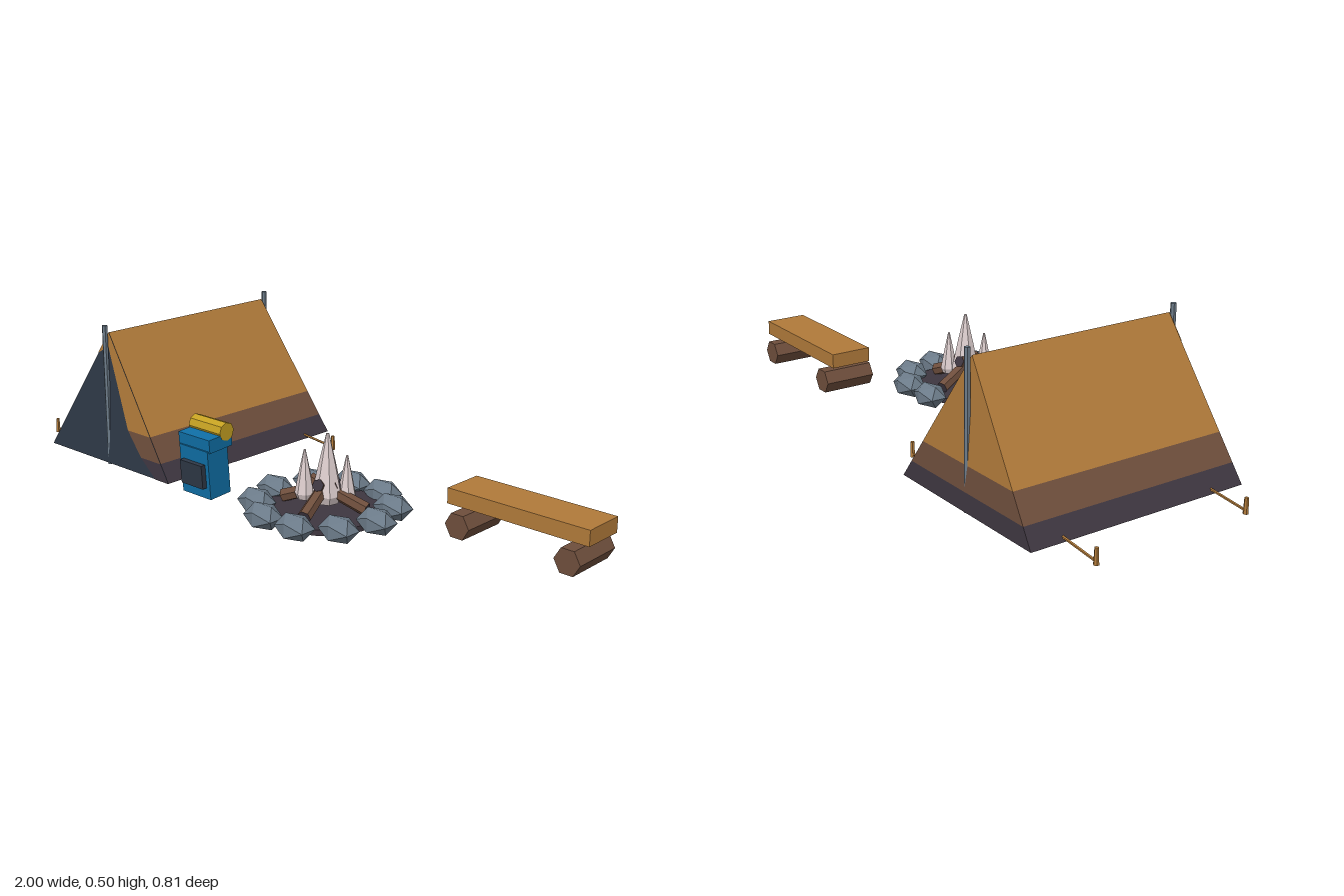
import * as THREE from 'three';

const mat = (name, color, side = THREE.FrontSide) => {
  const m = new THREE.MeshStandardMaterial({ color, side });
  m.name = name;
  return m;
};

export function createModel() {
  const canvas = mat('tan canvas and wood', 0xb07a3a, THREE.DoubleSide);
  const brown = mat('brown bark', 0x6e4e3c, THREE.DoubleSide);
  const plum = mat('charcoal plum', 0x3e3640, THREE.DoubleSide);
  const navy = mat('dark navy cloth', 0x2e3846, THREE.DoubleSide);
  const stone = mat('blue grey stone', 0x6c7b89);
  const blue = mat('pack blue', 0x0f6fa6);
  const yellow = mat('bedroll yellow', 0xc4a022);
  const pale = mat('pale flame', 0xdccdcd);

  const model = new THREE.Group();
  model.name = 'campsite';
  const group = (name) => {
    const g = new THREE.Group();
    g.name = name;
    model.add(g);
    return g;
  };

  // Faceted mesh with hard edges
  const add = (parent, name, geo, material, x = 0, y = 0, z = 0) => {
    const g = geo.index ? geo.toNonIndexed() : geo;
    g.computeVertexNormals();
    const m = new THREE.Mesh(g, material);
    m.name = name;
    m.position.set(x, y, z);
    parent.add(m);
    return m;
  };

  // Flat convex panel from its corner points
  const panel = (parent, name, pts, material) => {
    const tris = [];
    for (let i = 1; i < pts.length - 1; i++) tris.push(pts[0], pts[i], pts[i + 1]);
    add(parent, name, new THREE.BufferGeometry().setFromPoints(tris), material);
  };

  // Cylinder running from a to b
  const rod = (parent, name, a, b, r0, r1, sides, material) => {
    const dir = b.clone().sub(a);
    const m = add(parent, name, new THREE.CylinderGeometry(r1, r0, dir.length(), sides), material);
    m.position.copy(a).lerp(b, 0.5);
    m.quaternion.setFromUnitVectors(new THREE.Vector3(0, 1, 0), dir.normalize());
  };
  const V = (x, y, z) => new THREE.Vector3(x, y, z);

  // ---- Tent ----
  const tent = group('tent');
  const cx = -0.575, base = 0.045, ridge = 0.475, halfW = 0.295;
  const rise = (y) => (y - base) / (ridge - base);
  const half = (y) => halfW * (1 - rise(y));
  const frontZ = (y) => 0.325 - 0.025 * rise(y);
  const backZ = (y) => -0.408 + 0.028 * rise(y);
  const bands = [[base, 0.1, plum, 'hem'], [0.1, 0.175, brown, 'band'], [0.175, ridge, canvas, 'roof']];
  for (const [y0, y1, m, label] of bands) {
    for (const s of [-1, 1]) {
      panel(tent, label + 'Side', [
        V(cx + s * half(y0), y0, frontZ(y0)), V(cx + s * half(y0), y0, backZ(y0)),
        V(cx + s * half(y1), y1, backZ(y1)), V(cx + s * half(y1), y1, frontZ(y1))], m);
    }
    panel(tent, label + 'Back', [
      V(cx - half(y0), y0, backZ(y0)), V(cx + half(y0), y0, backZ(y0)),
      V(cx + half(y1), y1, backZ(y1)), V(cx - half(y1), y1, backZ(y1))], m);
  }
  panel(tent, 'groundSheet', [
    V(cx - halfW, base, frontZ(base)), V(cx + halfW, base, frontZ(base)),
    V(cx + halfW, base, backZ(base)), V(cx - halfW, base, backZ(base))], navy);

  // Dark doorway with a banded flap on one side
  const front = (name, pts, m, lift) =>
    panel(tent, name, pts.map(([x, y]) => V(cx + x, y, frontZ(y) + lift)), m);
  front('doorway', [[-halfW, base], [halfW, base], [0, ridge]], navy, 0);
  front('flapCanvas', [[0, ridge], [0, 0.43], [0.1, 0.175], [half(0.175), 0.175]], canvas, 0.002);
  front('flapBand', [[0.1, 0.175], [0.165, 0.1], [half(0.1), 0.1], [half(0.175), 0.175]], brown, 0.002);
  front('flapHem', [[0.165, 0.1], [0.235, base], [halfW, base], [half(0.1), 0.1]], plum, 0.002);
  front('doorPeak', [[0, ridge], [-half(0.4), 0.4], [0, 0.43]], canvas, 0.002);

  // Poles, guy ropes and pegs
  for (const z of [0.3155, -0.395])
    add(tent, 'tentPole', new THREE.CylinderGeometry(0.009, 0.009, 0.46, 6), stone, cx, 0.27, z);
  for (const s of [-1, 1]) for (const z of [0.215, -0.3]) {
    rod(tent, 'guyRope', V(cx + s * 0.285, 0.056, z), V(cx + s * 0.418, 0.042, z), 0.004, 0.004, 5, canvas);
    rod(tent, 'peg', V(cx + s * 0.417, 0.033, z), V(cx + s * 0.417, 0.08, z), 0.008, 0.006, 6, canvas);
  }

  // ---- Backpack ----
  const pack = group('backpack');
  pack.position.set(-0.152, 0.04, 0.28);
  pack.rotation.x = 0.07;
  const box = (name, w, h, d, m, y, z) => add(pack, name, new THREE.BoxGeometry(w, h, d), m, 0, y, z);
  box('packBody', 0.124, 0.155, 0.082, blue, 0.08, 0);
  box('packLid', 0.136, 0.042, 0.092, blue, 0.173, -0.01);
  box('packPocket', 0.095, 0.075, 0.02, navy, 0.076, 0.047);
  add(pack, 'bedroll', new THREE.CylinderGeometry(0.029, 0.029, 0.138, 8).rotateZ(Math.PI / 2),
    yellow, 0, 0.201, -0.037);

  // ---- Campfire ----
  const fire = group('campfire');
  const fx = 0.233, fz = 0.167;
  fire.position.set(fx, 0, fz);
  add(fire, 'ashBed', new THREE.CylinderGeometry(0.18, 0.18, 0.018, 20), plum, 0, 0.051, 0);
  for (let i = 0; i < 10; i++) {
    const a = i * Math.PI / 5;
    add(fire, 'ringStone', new THREE.IcosahedronGeometry(1, 0).scale(0.064, 0.041, 0.052),
      stone, 0.201 * Math.cos(a), 0.07, 0.201 * Math.sin(a));
  }
  // Leaning logs with charred ends
  for (let i = 0; i < 4; i++) {
    const a = -0.3 + i * Math.PI / 2, c = Math.cos(a), s = Math.sin(a);
    rod(fire, 'fireLog', V(0.135 * c, 0.075, 0.135 * s), V(-0.045 * c, 0.142, -0.045 * s),
      0.021, 0.019, 6, [brown, plum, plum]);
  }
  // Flames as faceted spindles: x, z, bottom, top, radius
  const flames = [[0.012, 0, 0.08, 0.29, 0.046], [-0.048, 0.033, 0.085, 0.235, 0.03], [0.055, -0.037, 0.085, 0.224, 0.028]];
  for (const [x, z, y0, y1, r] of flames) {
    const h = y1 - y0;
    const profile = [[0, 0], [r * 0.75, 0], [r, h * 0.12], [r * 0.58, h * 0.55], [r * 0.1, h], [0, h]];
    add(fire, 'flame', new THREE.LatheGeometry(profile.map(([a, b]) => new THREE.Vector2(a, b)), 7), pale, x, y0, z);
  }

  // ---- Bench ----
  const bench = group('bench');
  add(bench, 'benchPlank', new THREE.BoxGeometry(0.475, 0.048, 0.14), canvas, 0.7625, 0.115, -0.11);
  for (const x of [0.575, 0.945])
    add(bench, 'benchLog', new THREE.CylinderGeometry(0.0425, 0.0425, 0.176, 6)
      .rotateY(Math.PI / 2).rotateX(Math.PI / 2), brown, x, 0.0368, -0.11);

  return model;
}
